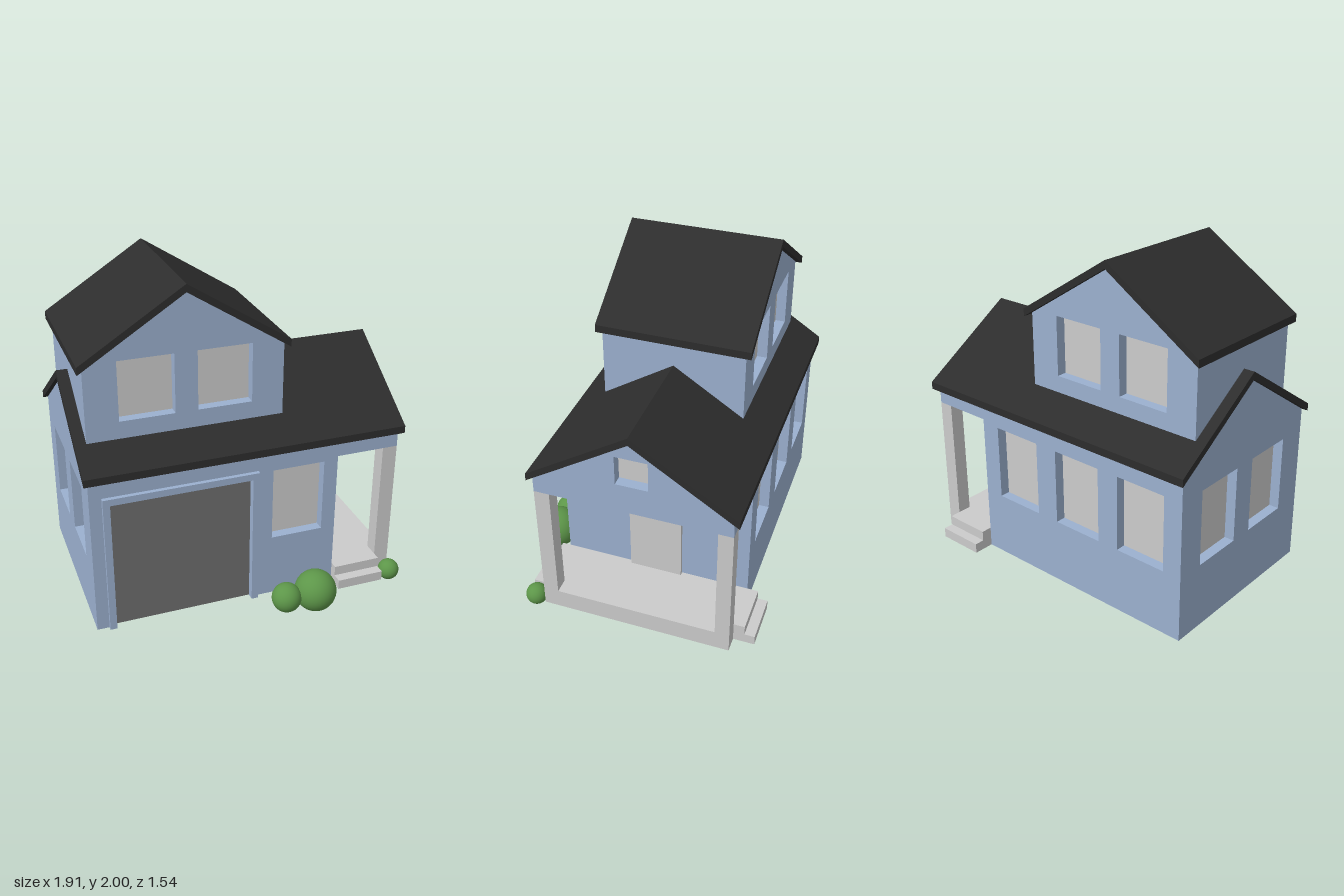
import * as THREE from 'three';

const mat = (name, color, side = THREE.FrontSide) => {
  const m = new THREE.MeshStandardMaterial({ color, side });
  m.name = name;
  return m;
};

export function createModel() {
  const house = new THREE.Group();
  house.name = 'house';
  const siding = mat('blue siding', 0x9bb0cf, THREE.DoubleSide);
  const trim = mat('pale grey', 0xcbcbcb, THREE.DoubleSide);
  const doorGrey = mat('garage grey', 0x6e6e6e);
  const roofing = mat('dark roofing', 0x2d2d2d);
  const leaf = mat('leaf green', 0x5d9649);

  const add = (name, geometry, material, parent = house) => {
    const mesh = new THREE.Mesh(geometry, material);
    mesh.name = name;
    parent.add(mesh);
    return mesh;
  };
  const shapeOf = (pts) => new THREE.Shape(pts.map(([x, y]) => new THREE.Vector2(x, y)));
  const rect = (x0, x1, y0, y1) => [[x0, y0], [x1, y0], [x1, y1], [x0, y1]];
  const block = (name, x0, x1, y0, y1, z0, z1, material) => add(name,
    new THREE.BoxGeometry(x1 - x0, y1 - y0, z1 - z0)
      .translate((x0 + x1) / 2, (y0 + y1) / 2, (z0 + z1) / 2), material);

  // Thin wall turned to face a side, with recessed windows [x0, x1, y0, y1]
  const DEPTH = 0.06;
  const wall = (name, pts, dist, turn, windows = []) => {
    const group = new THREE.Group();
    group.name = name;
    group.rotation.y = turn;
    const shape = shapeOf(pts);
    windows.forEach(([x0, x1, y0, y1]) => {
      shape.holes.push(shapeOf(rect(x0, x1, y0, y1)));
      const w = x1 - x0, h = y1 - y0, cx = (x0 + x1) / 2, cy = (y0 + y1) / 2;
      // keep only the four sides of the box as the window reveal
      const box = new THREE.BoxGeometry(w, h, DEPTH);
      box.setIndex(Array.from(box.index.array.slice(0, 24)));
      box.clearGroups();
      add('windowReveal', box.translate(cx, cy, dist - DEPTH / 2), siding, group);
      add('windowPane', new THREE.PlaneGeometry(w, h).translate(cx, cy, dist - DEPTH), trim, group);
    });
    add('wallFace', new THREE.ShapeGeometry(shape).translate(0, 0, dist), siding, group);
    house.add(group);
  };

  // Folded roof: chevron profile extruded from start to end
  const roof = (name, mid, half, top, eave, start, end, turn) => {
    const t = 0.045;
    const profile = shapeOf([[mid - half, eave - t], [mid, top - t], [mid + half, eave - t],
      [mid + half, eave], [mid, top], [mid - half, eave]]);
    const geo = new THREE.ExtrudeGeometry(profile, { depth: end - start, bevelEnabled: false });
    add(name, geo.translate(0, 0, start).rotateY(turn), roofing);
  };

  const FRONT = 0, RIGHT = Math.PI / 2, BACK = Math.PI, LEFT = -Math.PI / 2;

  // Main storey walls
  wall('frontWall', [[-0.93, 0.05], [-0.82, 0.05], [-0.82, 0.865], [0, 0.865], [0, 0.05], [0.53, 0.05],
    [0.53, 0.91], [0.91, 0.91], [0.91, 1.015], [-0.93, 1.015]], 0.48, FRONT, [[0.13, 0.445, 0.44, 0.89]]);
  wall('backWall', [[-0.91, 0.91], [-0.53, 0.91], [-0.53, 0.05], [0.93, 0.05], [0.93, 1.02], [-0.91, 1.02]],
    0.65, BACK, [0.5, 0.05, -0.41].map((x) => [x, x + 0.315, 0.44, 0.89]));
  wall('garageSideWall', [[-0.65, 0.05], [0.48, 0.05], [0.48, 1.015], [-0.09, 1.386], [-0.65, 1.02]],
    0.93, LEFT, [[-0.48, -0.165, 0.44, 0.89], [-0.02, 0.295, 0.44, 0.89]]);
  wall('porchInnerWall', rect(-0.48, 0.65, 0.05, 0.91), 0.53, RIGHT);
  wall('porchGable', [[-0.48, 0.91], [0.65, 0.91], [0.65, 1.02], [0.09, 1.386], [-0.48, 1.015]],
    0.91, RIGHT, [[0, 0.185, 1.09, 1.27]]);
  add('porchCeiling', new THREE.PlaneGeometry(0.38, 1.13).rotateX(Math.PI / 2)
    .translate(0.72, 0.91, -0.085), siding);
  roof('mainRoof', 0.09, 0.595, 1.43, 1.047, -0.955, 0.94, RIGHT);

  // Upper storey
  const gable = (s) => [[-0.89 * s, 1.12], [0.24 * s, 1.12], [0.24 * s, 1.6], [-0.325 * s, 1.955], [-0.89 * s, 1.6]];
  wall('upperFrontWall', gable(1), 0.325, FRONT, [[-0.705, -0.39, 1.265, 1.615], [-0.26, 0.055, 1.265, 1.615]]);
  wall('upperBackWall', gable(-1), 0.5, BACK, [[0.39, 0.705, 1.265, 1.615], [-0.055, 0.26, 1.265, 1.615]]);
  wall('upperRightWall', rect(-0.325, 0.5, 1.12, 1.6), 0.24, RIGHT);
  wall('upperLeftWall', rect(-0.5, 0.325, 1.12, 1.6), 0.89, LEFT);
  roof('upperRoof', -0.325, 0.595, 2, 1.62, -0.535, 0.355, FRONT);

  // Garage door and its raised surround
  block('garageDoor', -0.82, 0, 0.05, 0.865, 0.44, 0.46, doorGrey);
  const surround = shapeOf([[-0.86, 0.05], [-0.82, 0.05], [-0.82, 0.865], [0, 0.865], [0, 0.05],
    [0.04, 0.05], [0.04, 0.905], [-0.86, 0.905]]);
  add('garageSurround', new THREE.ExtrudeGeometry(surround, { depth: 0.045, bevelEnabled: false })
    .translate(0, 0, 0.46), siding);

  // Porch floor, posts, door and steps
  block('porchFloor', 0.53, 0.91, 0.05, 0.17, -0.65, 0.48, trim);
  block('porchDoor', 0.53, 0.553, 0.17, 0.87, -0.245, 0.07, trim);
  [[0.39, 0.48], [-0.65, -0.565]].forEach(([z0, z1]) =>
    block('porchPost', 0.82, 0.91, 0.17, 0.91, z0, z1, trim));
  block('frontUpperStep', 0.53, 0.82, 0.11, 0.17, 0.48, 0.53, trim);
  block('frontLowerStep', 0.53, 0.82, 0.05, 0.11, 0.48, 0.59, trim);
  block('backUpperStep', 0.53, 0.82, 0.11, 0.17, -0.715, -0.65, trim);
  block('backLowerStep', 0.53, 0.82, 0.05, 0.11, -0.775, -0.65, trim);

  // Round bushes
  [[0.165, 0.12, 0.645, 0.088], [0.35, 0.125, 0.642, 0.125], [0.89, 0.082, 0.543, 0.064]].forEach(
    ([x, y, z, r]) => add('bush', new THREE.SphereGeometry(r, 32, 20).translate(x, y, z), leaf));

  return house;
}
